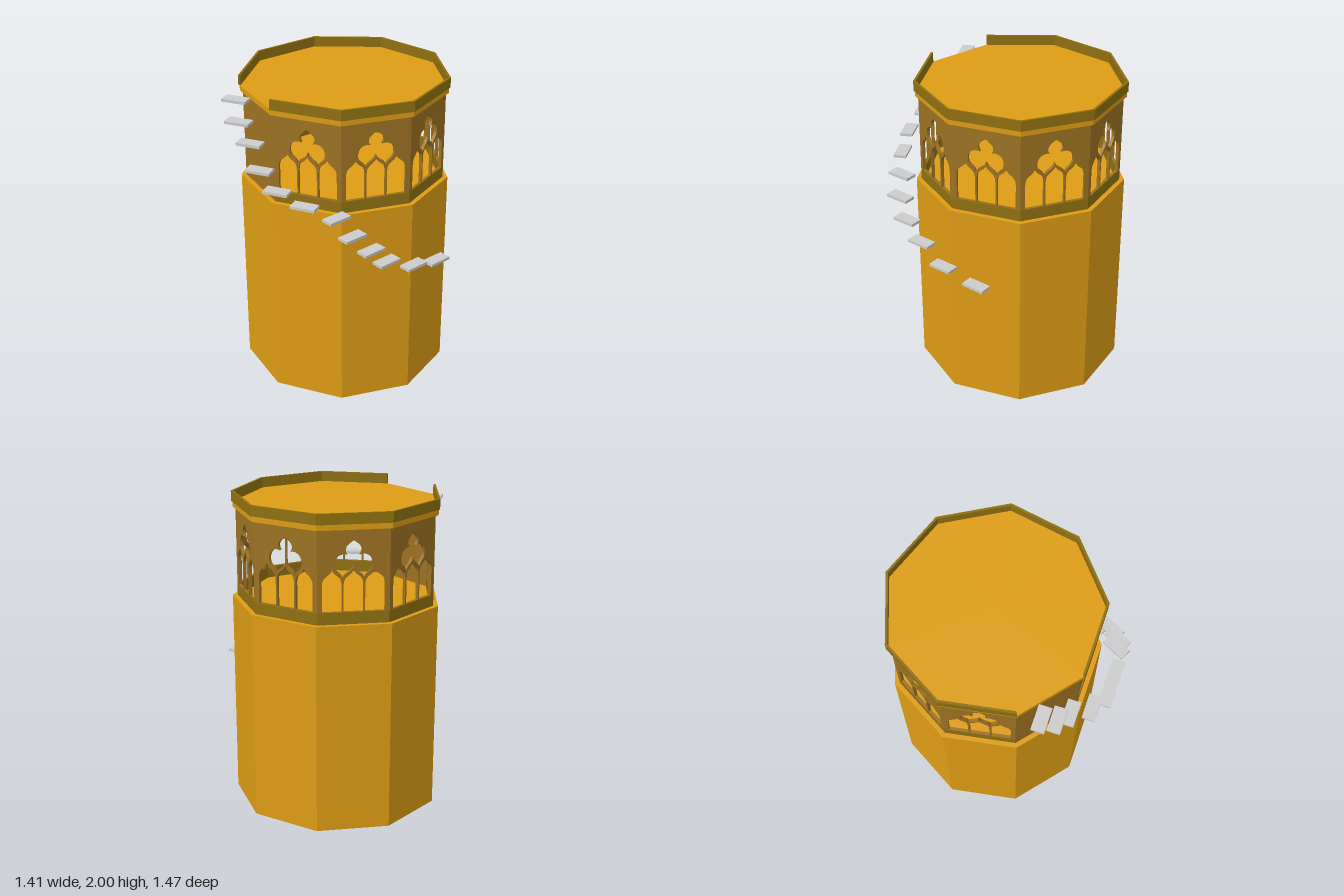
import * as THREE from 'three';

const SIDES = 9, STEP = (Math.PI * 2) / SIDES, HALF = STEP / 2;
const CX = -0.052, CZ = -0.072; // tower axis
const mat = (color) => new THREE.MeshStandardMaterial({ color, flatShading: true });

// Closed nine-sided drum with a flat side to the front
function drum(name, r, y0, y1, material) {
  const geo = new THREE.CylinderGeometry(r, r, y1 - y0, SIDES, 1, false, Math.PI);
  const mesh = new THREE.Mesh(geo, material);
  mesh.name = name;
  mesh.position.y = (y0 + y1) / 2;
  return mesh;
}

// One mitred side of a nine-sided ring, facing +z
function ringSide(name, r, thick, y0, y1, material) {
  const a = r * Math.cos(HALF), w = r * Math.sin(HALF);
  const b = a - thick, v = b * Math.tan(HALF);
  const shape = new THREE.Shape([[-w, -a], [w, -a], [v, -b], [-v, -b]].map(([x, y]) => new THREE.Vector2(x, y)));
  const geo = new THREE.ExtrudeGeometry(shape, { depth: y1 - y0, bevelEnabled: false });
  geo.rotateX(-Math.PI / 2);
  const mesh = new THREE.Mesh(geo, material);
  mesh.name = name;
  mesh.position.y = y0;
  return mesh;
}

// Pointed light with an ogee head
function lancet(x) {
  const w = 0.059, p = new THREE.Path();
  p.moveTo(x - w, 1.405);
  p.lineTo(x + w, 1.405);
  p.lineTo(x + w, 1.57);
  p.bezierCurveTo(x + w, 1.63, x + 0.012, 1.62, x, 1.662);
  p.bezierCurveTo(x - 0.012, 1.62, x - w, 1.63, x - w, 1.57);
  p.closePath();
  return p;
}

// Three-lobed opening above the lights
function trefoil() {
  const p = new THREE.Path();
  p.moveTo(0, 1.684);
  p.bezierCurveTo(0.014, 1.64, 0.055, 1.645, 0.064, 1.61);
  p.bezierCurveTo(0.072, 1.645, 0.105, 1.645, 0.112, 1.68);
  p.bezierCurveTo(0.12, 1.74, 0.07, 1.765, 0.036, 1.75);
  p.bezierCurveTo(0.065, 1.79, 0.035, 1.81, 0, 1.835);
  p.bezierCurveTo(-0.035, 1.81, -0.065, 1.79, -0.036, 1.75);
  p.bezierCurveTo(-0.07, 1.765, -0.12, 1.74, -0.112, 1.68);
  p.bezierCurveTo(-0.105, 1.645, -0.072, 1.645, -0.064, 1.61);
  p.bezierCurveTo(-0.055, 1.645, -0.014, 1.64, 0, 1.684);
  return p;
}

// Upper wall panel, pierced or plain
function wallPanel(r, open, material) {
  const w = r * Math.sin(HALF), depth = 0.02, y0 = open ? 1.4 : 1.33;
  const shape = new THREE.Shape([[-w, y0], [w, y0], [w, 1.9], [-w, 1.9]].map(([x, y]) => new THREE.Vector2(x, y)));
  if (open) shape.holes.push(lancet(-0.128), lancet(0), lancet(0.128), trefoil());
  const geo = new THREE.ExtrudeGeometry(shape, { depth, bevelEnabled: false, curveSegments: 8 });
  const mesh = new THREE.Mesh(geo, material);
  mesh.name = open ? 'windowWall' : 'plainWall';
  mesh.position.z = r * Math.cos(HALF) - depth;
  return mesh;
}

export function createModel() {
  const model = new THREE.Group();
  const ochre = mat(0xdd9c14), brown = mat(0x9c7222), olive = mat(0x8f7010), grey = mat(0xcccccc);

  const tower = new THREE.Group();
  tower.name = 'tower';
  tower.position.set(CX, 0, CZ);
  tower.add(drum('lowerTower', 0.663, 0, 1.33, ochre), drum('roofSlab', 0.65, 1.9, 1.935, ochre));

  // Gallery sides; the one behind the top of the stair is plain, with no parapet
  for (let i = 0; i < SIDES; i++) {
    const side = new THREE.Group();
    const open = i !== SIDES - 1;
    side.name = 'gallerySide';
    side.rotation.y = i * STEP;
    side.add(wallPanel(0.632, open, brown));
    if (open) {
      side.add(ringSide('sillWall', 0.632, 0.02, 1.33, 1.405, olive));
      side.add(ringSide('parapet', 0.658, 0.014, 1.935, 2, olive));
    }
    tower.add(side);
  }
  model.add(tower);

  // Floating stair winding up around the front: x, y, z, turn
  const steps = [
    [0.63, 0.876, 0.08, 1.1], [0.553, 0.942, 0.302, 1.1], [0.435, 1.028, 0.465, 1.1],
    [0.375, 1.145, 0.57, 1.1], [0.28, 1.25, 0.632, 1.1], [0.183, 1.357, 0.643, 1.1],
    [-0.003, 1.42, 0.685, 0], [-0.177, 1.487, 0.685, 0], [-0.317, 1.573, 0.624, 0],
    [-0.425, 1.687, 0.52, 0], [-0.522, 1.79, 0.466, 0], [-0.577, 1.895, 0.386, 0],
  ];
  const stepGeo = new THREE.BoxGeometry(0.156, 0.018, 0.08);
  const stair = new THREE.Group();
  stair.name = 'stair';
  for (const [x, y, z, turn] of steps) {
    const step = new THREE.Mesh(stepGeo, grey);
    step.name = 'step';
    step.position.set(x, y, z);
    step.rotation.y = turn;
    stair.add(step);
  }
  model.add(stair);
  return model;
}
